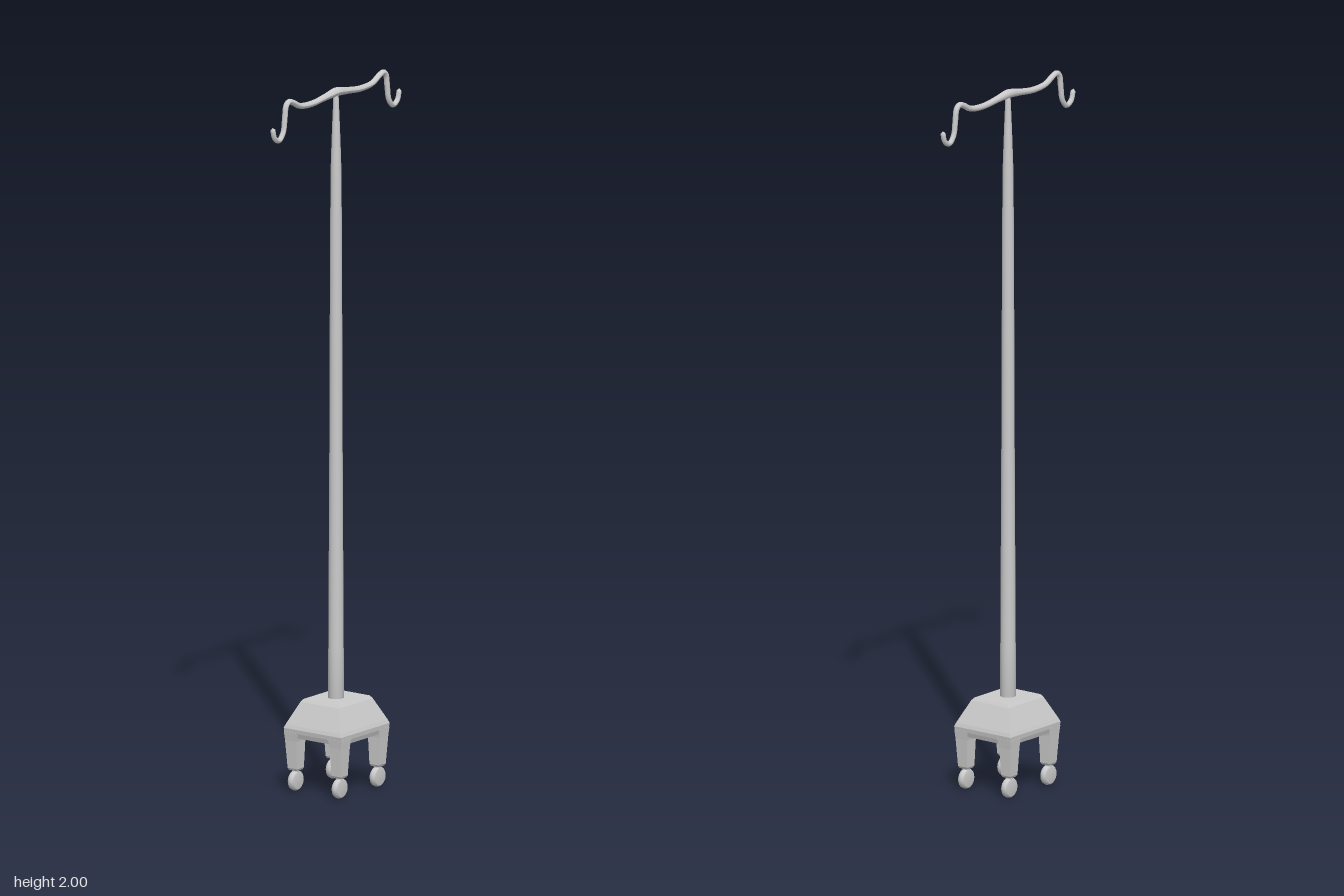
import * as THREE from 'three';

const grey = (flat = false) => new THREE.MeshStandardMaterial({ color: 0xcccccc, flatShading: flat });

function add(parent, name, geometry, flat) {
  const mesh = new THREE.Mesh(geometry, grey(flat));
  mesh.name = name;
  parent.add(mesh);
  return mesh;
}

// Closed solid through rectangular sections [y, halfX, halfZ, centreX, centreZ], bottom to top
function loftRects(sections) {
  const pos = [], index = [];
  for (const [y, hx, hz, cx = 0, cz = 0] of sections) {
    pos.push(cx - hx, y, cz + hz, cx + hx, y, cz + hz, cx + hx, y, cz - hz, cx - hx, y, cz - hz);
  }
  const last = (sections.length - 1) * 4;
  for (let r = 0; r < last; r += 4) {
    for (let i = 0; i < 4; i++) {
      const a = r + i, b = r + (i + 1) % 4;
      index.push(a, b, b + 4, a, b + 4, a + 4);
    }
  }
  index.push(0, 2, 1, 0, 3, 2, last, last + 1, last + 2, last, last + 2, last + 3);
  const g = new THREE.BufferGeometry();
  g.setAttribute('position', new THREE.Float32BufferAttribute(pos, 3));
  g.setIndex(index);
  const flat = g.toNonIndexed();
  flat.computeVertexNormals();
  return flat;
}

// Tube whose thickness follows radiusAt(t), closing to a point where it is zero
function taperedTube(curve, segments, sides, radiusAt) {
  const g = new THREE.TubeGeometry(curve, segments, 1, sides);
  const p = g.attributes.position, v = new THREE.Vector3();
  for (let i = 0; i < p.count; i++) {
    const t = Math.floor(i / (sides + 1)) / segments;
    const c = curve.getPointAt(t);
    v.fromBufferAttribute(p, i).sub(c).multiplyScalar(radiusAt(t)).add(c);
    p.setXYZ(i, v.x, v.y, v.z);
  }
  g.computeVertexNormals();
  return g;
}

export function createModel() {
  const model = new THREE.Group();
  model.name = 'hookStand';
  const stand = new THREE.Group();
  stand.name = 'stand';
  stand.rotation.y = Math.PI / 4;
  model.add(stand);

  // Sloped base block with softened edges
  const base = add(stand, 'base', loftRects([
    [0.155, 0.105, 0.094],
    [0.168, 0.109, 0.098],
    [0.18, 0.1105, 0.099],
    [0.19, 0.107, 0.095],
    [0.252, 0.077, 0.066],
    [0.26, 0.071, 0.06],
  ]), true);
  base.position.set(0.003, 0, 0);

  // Four tapered legs, each on a small wheel
  for (const sx of [-1, 1]) {
    for (const sz of [-1, 1]) {
      const leg = new THREE.Group();
      leg.name = 'leg';
      leg.position.x = 0.003;
      stand.add(leg);
      const x = sx * 0.086, z = sz * 0.076;
      add(leg, 'legPost', loftRects([
        [0.06, 0.013, 0.013, x, z],
        [0.066, 0.016, 0.016, x, z],
        [0.145, 0.02, 0.02, sx * 0.087, sz * 0.077],
        [0.17, 0.023, 0.023, sx * 0.087, sz * 0.076],
      ]), true);
      add(leg, 'wheelStem', new THREE.CylinderGeometry(0.01, 0.01, 0.03, 12)).position.set(x, 0.052, z);
      // Wheel with rounded rim
      const rim = [[0, -0.011], [0.022, -0.011], [0.027, -0.007], [0.029, 0], [0.027, 0.007], [0.022, 0.011], [0, 0.011]];
      const wheel = add(leg, 'wheel', new THREE.LatheGeometry(rim.map(([r, y]) => new THREE.Vector2(r, y)), 20));
      wheel.rotation.x = Math.PI / 2;
      wheel.position.set(x, 0.03, z);
    }
  }

  // Pole, narrowing towards the top
  const poleProfile = [[0, 0.25], [0.0225, 0.25], [0.0215, 0.4], [0.0185, 1], [0.0165, 1.6],
    [0.0145, 1.78], [0.011, 1.88], [0.008, 1.95], [0.007, 1.975], [0, 1.978]];
  add(stand, 'pole', new THREE.LatheGeometry(poleProfile.map(([r, y]) => new THREE.Vector2(r, y)), 16));

  // Cross bar with an upturned hook at each end
  const half = [[0.045, 1.971], [0.11, 1.964], [0.165, 1.969], [0.195, 1.984], [0.214, 1.99], [0.226, 1.98],
    [0.232, 1.945], [0.239, 1.908], [0.258, 1.888], [0.278, 1.899], [0.287, 1.93]];
  const points = [
    ...half.map(([x, y]) => new THREE.Vector3(-x, y, 0)).reverse(),
    new THREE.Vector3(0, 1.976, 0),
    ...half.map(([x, y]) => new THREE.Vector3(x, y, 0)),
  ];
  const bar = new THREE.CatmullRomCurve3(points);
  add(stand, 'hookBar', taperedTube(bar, 120, 10, (t) => {
    const s = Math.abs(t - 0.5) * 2;
    const hub = 0.003 * Math.exp(-((s / 0.1) ** 2));
    return s > 0.999 ? 0 : 0.0095 - 0.0025 * s + hub;
  }));

  return model;
}
